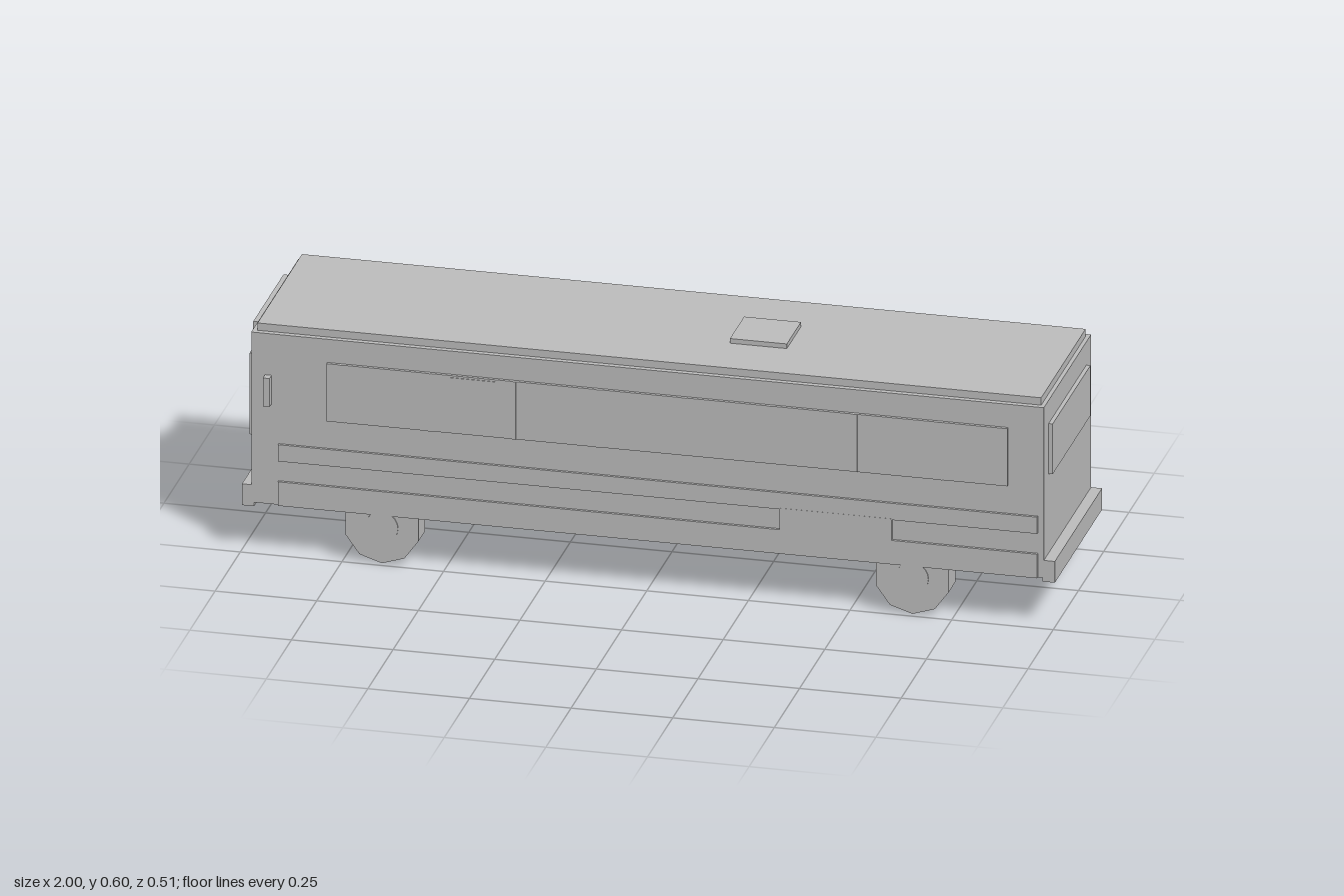
import * as THREE from 'three';

export function createModel() {
  const bus = new THREE.Group();
  bus.name = 'bus';
  const paint = new THREE.MeshStandardMaterial({ color: 0xbcbcbc });
  paint.name = 'plain grey';

  // Box given by its limits on each axis
  const box = (name, [x0, x1], [y0, y1], [z0, z1]) => {
    const mesh = new THREE.Mesh(new THREE.BoxGeometry(x1 - x0, y1 - y0, z1 - z0), paint);
    mesh.name = name;
    mesh.position.set((x0 + x1) / 2, (y0 + y1) / 2, (z0 + z1) / 2);
    bus.add(mesh);
  };
  const SIDE = 0.234;
  // Thin plate standing proud of a long side (s = +1 or -1)
  const plate = (name, s, xs, ys, out) =>
    box(name, xs, ys, s > 0 ? [SIDE - 0.002, SIDE + out] : [-SIDE - out, -SIDE + 0.002]);

  // Body shell, roof and hatch
  box('body', [-0.977, 0.973], [0.125, 0.565], [-SIDE, SIDE]);
  box('roof', [-0.965, 0.963], [0.565, 0.584], [-0.22, 0.22]);
  box('roofHatch', [0.16, 0.3], [0.584, 0.596], [-0.07, 0.07]);

  // Bumpers and end windows
  box('frontBumper', [-1, -0.97], [0.115, 0.17], [-SIDE, SIDE]);
  box('rearBumper', [0.97, 1], [0.115, 0.17], [-SIDE, SIDE]);
  box('windscreen', [-0.987, -0.975], [0.29, 0.5], [-0.21, 0.21]);
  box('destinationSign', [-0.993, -0.975], [0.513, 0.557], [-0.15, 0.15]);
  box('rearWindow', [0.97, 0.983], [0.375, 0.505], [-0.187, 0.187]);

  for (const s of [1, -1]) {
    // Window band with evenly spaced pillars
    plate('sideWindows', s, [-0.79, 0.885], [0.356, 0.505], 0.008);
    for (let i = 0; i < 8; i++) {
      const x = -0.75 + i * 0.21;
      plate('windowPillar', s, [x - 0.006, x + 0.006], [0.356, 0.505], 0.0095);
    }
    // Rub strip, skirt strip and mirror
    plate('upperStrip', s, [-0.91, 0.958], [0.24, 0.283], 0.007);
    plate('skirtStrip', s, [-0.91, 0.958], [0.125, 0.187], 0.007);
    plate('mirror', s, [-0.943, -0.927], [0.384, 0.458], 0.021);
  }

  // Access panel and small window sign on one side
  plate('accessPanel', 1, [0.325, 0.6], [0.13, 0.243], 0.0075);
  plate('windowSign', 1, [-0.485, -0.37], [0.435, 0.5], 0.0095);
  // Passenger door and lowered side panel on the other
  plate('door', -1, [-0.77, -0.63], [0.122, 0.505], 0.0098);
  plate('sidePanel', -1, [-0.47, -0.283], [0.303, 0.4], 0.009);

  // Ten-sided wheels with hub caps, one corner pointing down
  const R = 0.094;
  const drum = (radius, width, sides) =>
    new THREE.CylinderGeometry(radius, radius, width, sides).rotateX(Math.PI / 2).toNonIndexed();
  const tyre = drum(R, 0.065, 10);
  tyre.computeVertexNormals();
  const hub = drum(0.04, 0.071, 20);
  for (const x of [-0.655, 0.65]) {
    for (const s of [1, -1]) {
      const wheel = new THREE.Group();
      wheel.name = 'wheel';
      for (const [name, geo] of [['tyre', tyre], ['hub', hub]]) {
        const mesh = new THREE.Mesh(geo, paint);
        mesh.name = name;
        wheel.add(mesh);
      }
      wheel.position.set(x, R, s * 0.2035);
      bus.add(wheel);
    }
  }
  return bus;
}
